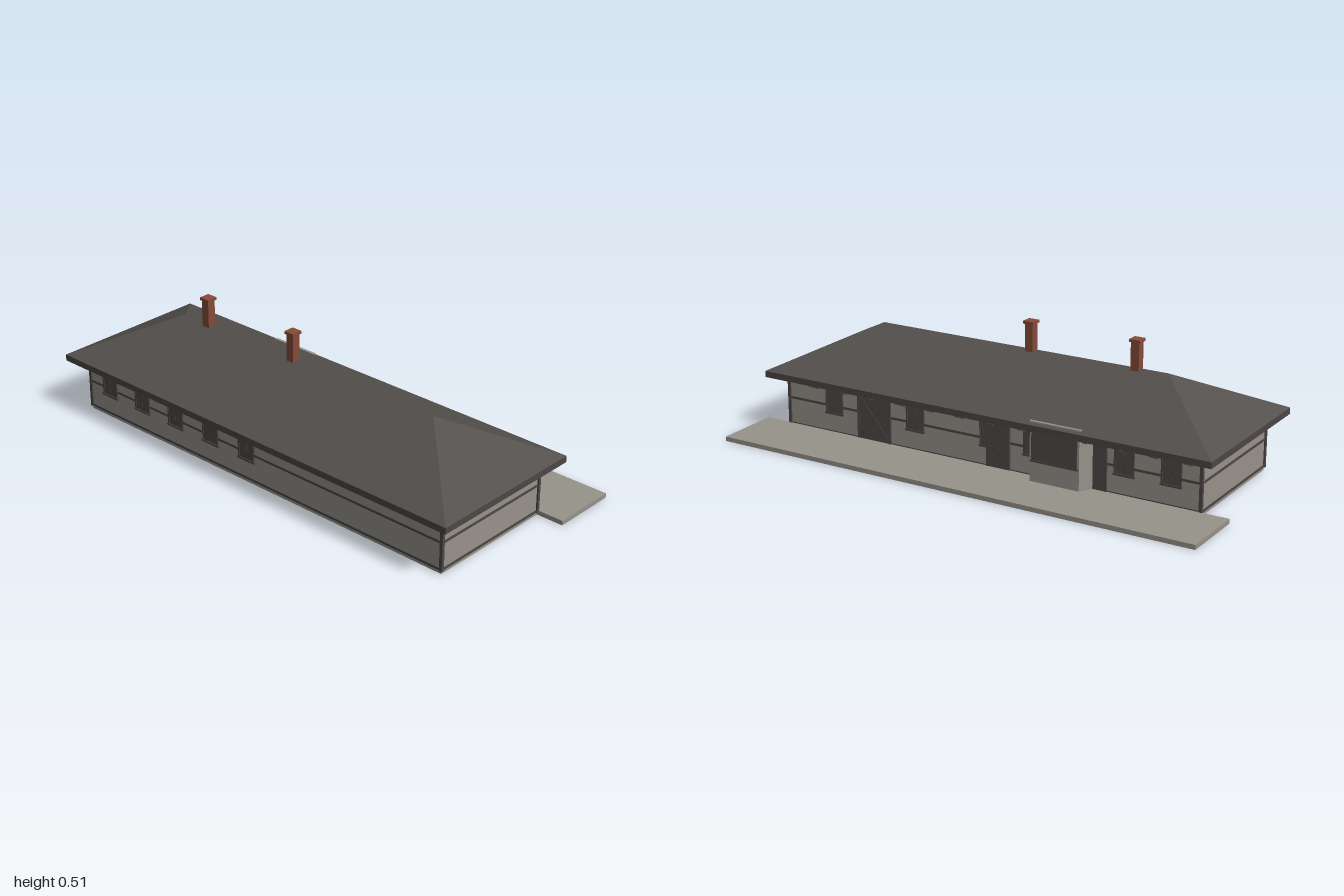
import * as THREE from 'three';

const mat = (name, color, side = THREE.FrontSide) => {
  const m = new THREE.MeshStandardMaterial({ color, side });
  m.name = name;
  return m;
};

export function createModel() {
  const root = new THREE.Group();
  root.name = 'stationBuilding';
  const wall = mat('stoneWall', 0x97938b);
  const paving = mat('platformPaving', 0x97938b);
  const trim = mat('darkTrim', 0x4c4745);
  const roofMat = mat('roofSlate', 0x54504e);
  const glass = mat('darkOpening', 0x4e4a48);
  const brick = mat('brick', 0x864b38);

  const add = (name, geo, m, parent = root) => {
    const mesh = new THREE.Mesh(geo, m);
    mesh.name = name;
    parent.add(mesh);
    return mesh;
  };
  // box given by its minimum and maximum on each axis
  const box = (name, m, x0, x1, y0, y1, z0, z1, parent = root) => {
    const b = add(name, new THREE.BoxGeometry(x1 - x0, y1 - y0, z1 - z0), m, parent);
    b.position.set((x0 + x1) / 2, (y0 + y1) / 2, (z0 + z1) / 2);
    return b;
  };

  const X = 0.89, ZF = 0.365, ZB = -0.165;

  // body and platform
  box('walls', wall, -X, X, 0, 0.214, ZB, ZF);
  box('platform', paving, -1, 1, 0, 0.018, -0.432, -0.168);

  // horizontal bands and corner posts
  for (const y of [0.017, 0.123]) {
    const h = 0.0045;
    box('frontBand', trim, -X, X, y - h, y + h, ZF, ZF + 0.003);
    box('backBand', trim, -X, X, y - h, y + h, ZB - 0.003, ZB);
    for (const s of [-1, 1]) {
      const a = s * X, b = s * (X + 0.003);
      box('endBand', trim, Math.min(a, b), Math.max(a, b), y - h, y + h, ZB, ZF);
    }
  }
  for (const x of [-X, X]) for (const z of [ZF, ZB])
    box('cornerPost', trim, x - 0.006, x + 0.006, 0.012, 0.214, z - 0.006, z + 0.006);

  // hipped roof: each slope has its own corners, so the edges stay sharp
  const RX = 0.955, RF = 0.432, RB = -0.232, E = 0.236, H = 0.402, RZ = 0.1, RR = 0.62;
  box('eaves', trim, -RX, RX, 0.211, E, RB, RF);
  const a = [-RX, E, RF], b = [RX, E, RF], c = [RX, E, RB], d = [-RX, E, RB];
  const l = [-RR, H, RZ], r = [RR, H, RZ];
  const roof = new THREE.BufferGeometry();
  roof.setAttribute('position', new THREE.Float32BufferAttribute(
    [a, b, r, a, r, l, c, d, l, c, l, r, b, c, r, d, a, l].flat(), 3));
  roof.computeVertexNormals();
  add('hippedRoof', roof, roofMat);

  // chimneys
  for (const x of [-0.492, -0.048]) {
    const g = new THREE.Group();
    g.name = 'chimney';
    root.add(g);
    box('chimneyStack', brick, x - 0.017, x + 0.017, 0.36, 0.502, RZ - 0.017, RZ + 0.017, g);
    box('chimneyCap', brick, x - 0.022, x + 0.022, 0.501, 0.512, RZ - 0.022, RZ + 0.022, g);
  }

  // eave brackets, front and back
  const bracket = new THREE.ExtrudeGeometry(new THREE.Shape([
    new THREE.Vector2(0, 0.178), new THREE.Vector2(0.053, 0.203),
    new THREE.Vector2(0.053, 0.212), new THREE.Vector2(0, 0.212),
  ]), { depth: 0.008, bevelEnabled: false });
  bracket.translate(0, 0, -0.004);
  for (let i = 0; i < 13; i++) for (const s of [1, -1]) {
    const m = add('eaveBracket', bracket, trim);
    m.rotation.y = -s * Math.PI / 2;
    m.position.set(-0.85 + i * 0.1335, 0, s > 0 ? ZF : ZB);
  }

  // windows and doors; s is +1 on the front wall and -1 on the back wall
  const plate = (name, m, x, w, y0, y1, s, t) => {
    const z = s > 0 ? ZF : ZB;
    return box(name, m, x - w / 2, x + w / 2, y0, y1, Math.min(z, z + s * t), Math.max(z, z + s * t));
  };
  const windowAt = (x, s) => {
    plate('windowPane', glass, x, 0.076, 0.092, 0.212, s, 0.004);
    plate('windowSill', trim, x, 0.086, 0.089, 0.096, s, 0.008);
    plate('windowMullion', trim, x, 0.005, 0.096, 0.212, s, 0.005);
    for (const e of [-1, 1]) plate('windowFrame', trim, x + e * 0.037, 0.006, 0.092, 0.212, s, 0.006);
  };
  const bays = [-0.775, -0.59, -0.405, -0.217, -0.03];
  bays.forEach((x) => windowAt(x, 1));
  [...bays, 0.297, 0.673].forEach((x) => windowAt(x, -1));
  for (const x of [-0.07, -0.472]) {
    plate('door', glass, x, 0.094, 0.018, 0.2, -1, 0.006);
    for (const e of [-1, 1]) plate('doorFrame', trim, x + e * 0.047, 0.006, 0.018, 0.203, -1, 0.008);
  }

  // freight door with crossed battens
  plate('freightDoor', glass, 0.485, 0.15, 0.018, 0.2, -1, 0.005);
  for (const e of [-1, 1]) {
    plate('freightDoorFrame', trim, 0.485 + e * 0.073, 0.007, 0.018, 0.2, -1, 0.008);
    const batten = add('freightDoorBatten', new THREE.BoxGeometry(0.22, 0.007, 0.003), trim);
    batten.position.set(0.485, 0.109, ZB - 0.006);
    batten.rotation.z = e * Math.atan2(0.17, 0.14);
  }

  // splayed bay on the platform side
  const bay = new THREE.ExtrudeGeometry(new THREE.Shape([
    new THREE.Vector2(-0.472, 0.16), new THREE.Vector2(-0.2, 0.16),
    new THREE.Vector2(-0.235, 0.22), new THREE.Vector2(-0.438, 0.22),
  ]), { depth: 0.248, bevelEnabled: false });
  bay.rotateX(-Math.PI / 2);
  add('bayWalls', bay, wall);
  box('bayWindow', glass, -0.43, -0.243, 0.098, 0.215, -0.223, -0.219);
  box('baySill', trim, -0.435, -0.238, 0.095, 0.101, -0.225, -0.219);

  return root;
}
